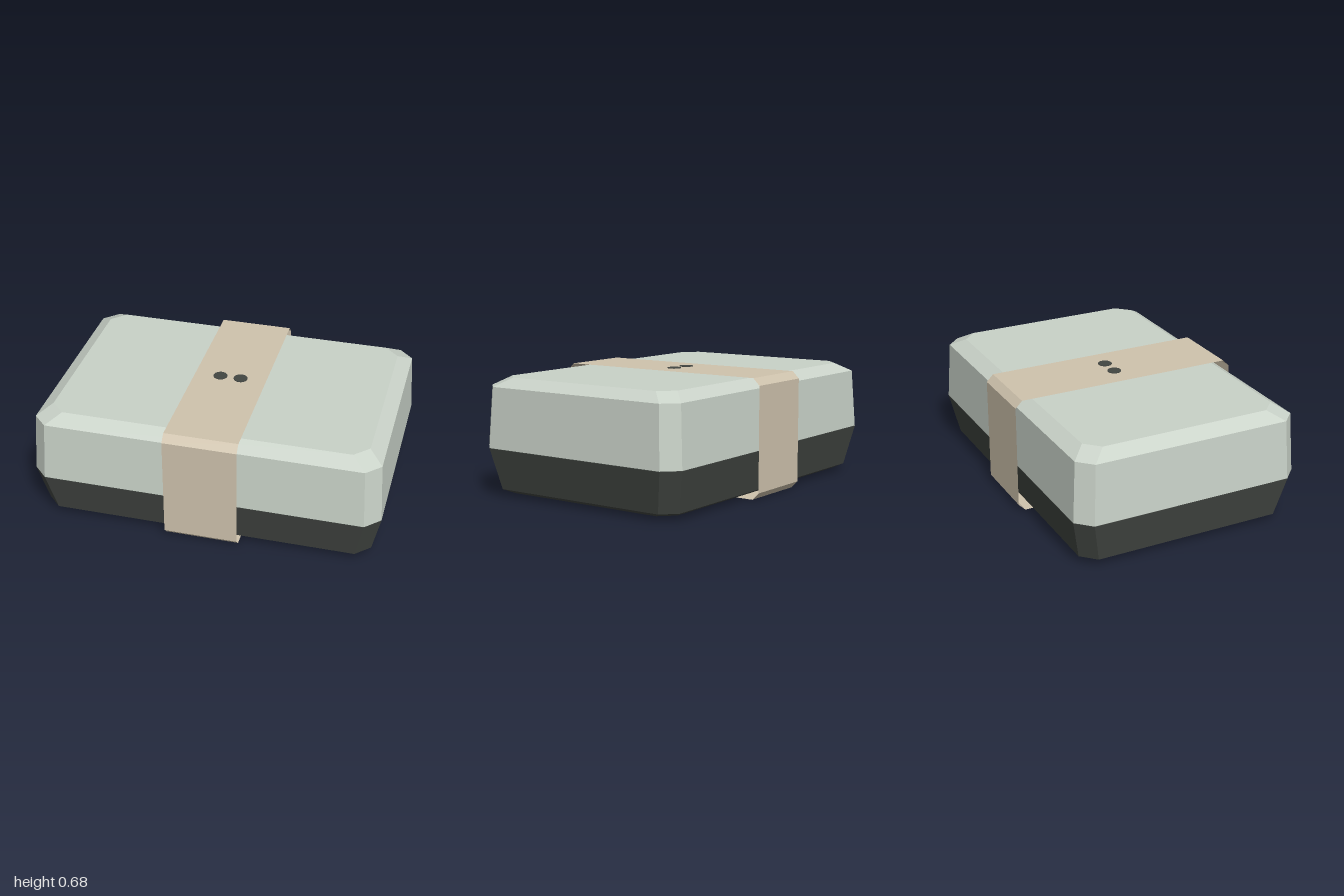
import * as THREE from 'three';

// Rectangle with cut corners, half sizes x and z, at height y
function ring([y, x, z, c]) {
  return [
    [x, z - c], [x - c, z], [-x + c, z], [-x, z - c],
    [-x, -z + c], [-x + c, -z], [x - c, -z], [x, -z + c],
  ].map(([px, pz]) => new THREE.Vector3(px, y, pz));
}

// Faceted shell through rings listed from bottom to top, closed at both ends
function loft(sections) {
  const rings = sections.map(ring);
  const points = [];
  for (let r = 0; r < rings.length - 1; r++) {
    for (let i = 0; i < 8; i++) {
      const j = (i + 1) % 8;
      const a = rings[r][i], b = rings[r][j], c = rings[r + 1][j], d = rings[r + 1][i];
      points.push(a, d, b, b, d, c);
    }
  }
  const low = rings[0], high = rings[rings.length - 1];
  for (let i = 1; i < 7; i++) {
    points.push(low[0], low[i], low[i + 1]);
    points.push(high[0], high[i + 1], high[i]);
  }
  const geometry = new THREE.BufferGeometry().setFromPoints(points);
  geometry.computeVertexNormals();
  return geometry;
}

// Open sleeve with a cut-corner profile in the yz plane
function sleeve(halfWidth, halfDepth, height, cut) {
  const h = halfDepth, k = halfDepth - cut;
  const profile = [
    [h, cut], [h, height - cut], [k, height], [-k, height],
    [-h, height - cut], [-h, cut], [-k, 0], [k, 0],
  ];
  const points = [];
  profile.forEach(([z, y], i) => {
    const [z2, y2] = profile[(i + 1) % profile.length];
    const a = new THREE.Vector3(-halfWidth, y, z), b = new THREE.Vector3(halfWidth, y, z);
    const c = new THREE.Vector3(halfWidth, y2, z2), d = new THREE.Vector3(-halfWidth, y2, z2);
    points.push(a, b, c, a, c, d);
  });
  const geometry = new THREE.BufferGeometry().setFromPoints(points);
  geometry.computeVertexNormals();
  return geometry;
}

export function createModel() {
  const model = new THREE.Group();
  model.name = 'bandedBox';

  const paleGreen = new THREE.MeshStandardMaterial({ name: 'paleGreen', color: 0xc9d2c8 });
  const charcoal = new THREE.MeshStandardMaterial({ name: 'charcoal', color: 0x424642 });
  const sand = new THREE.MeshStandardMaterial({ name: 'sand', color: 0xcfc3ad, side: THREE.DoubleSide });

  const add = (name, geometry, material) => {
    const mesh = new THREE.Mesh(geometry, material);
    mesh.name = name;
    model.add(mesh);
    return mesh;
  };

  // Sections: height, half width, half depth, corner cut
  add('base', loft([
    [0.015, 0.9, 0.575, 0.08],
    [0.04, 0.95, 0.625, 0.08],
    [0.275, 1, 0.675, 0.083],
  ]), charcoal);

  add('lid', loft([
    [0.277, 1, 0.675, 0.083],
    [0.62, 0.98, 0.655, 0.08],
    [0.67, 0.9, 0.575, 0.08],
  ]), paleGreen);

  // Thin wrap around the middle
  add('band', sleeve(0.21, 0.685, 0.68, 0.04), sand);

  // Two round dots on top of the band
  for (const side of [-1, 1]) {
    const dot = add(side > 0 ? 'leftDot' : 'rightDot',
      new THREE.CylinderGeometry(0.04, 0.04, 0.004, 24), charcoal);
    dot.position.set(side * 0.06, 0.682, 0);
  }

  return model;
}
